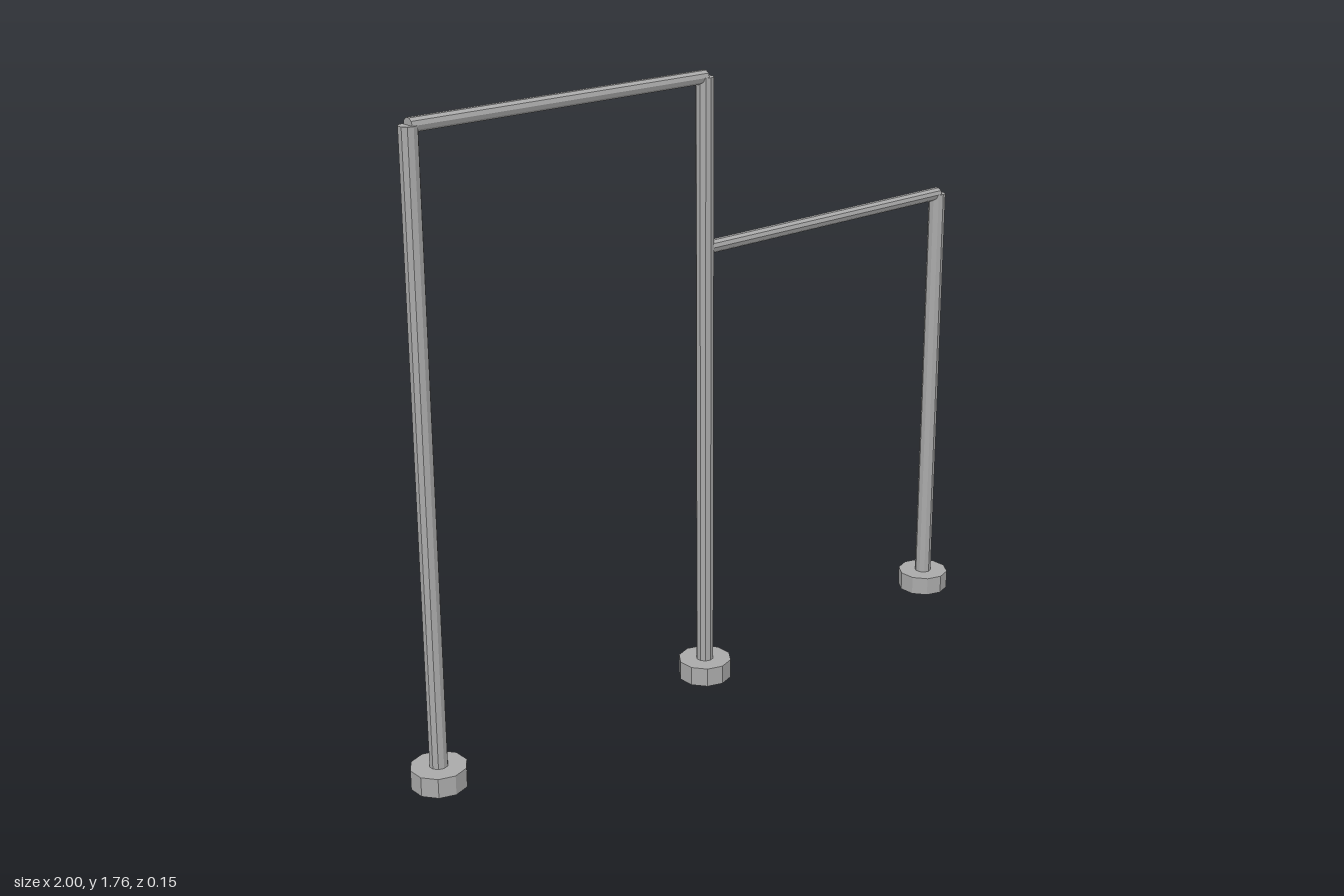
import * as THREE from 'three';

const SIDES = 10;
const SPAN = 0.928;      // distance between neighbouring posts
const HIGH = 1.74;       // upper bar height
const LOW = 1.277;       // lower bar height

export function createModel() {
  const group = new THREE.Group();
  const steel = new THREE.MeshStandardMaterial({ color: 0xaaaaaa, flatShading: true });
  steel.name = 'greySteel';

  const addRod = (name, radius, length, x, y) => {
    const mesh = new THREE.Mesh(new THREE.CylinderGeometry(radius, radius, length, SIDES), steel);
    mesh.name = name;
    mesh.position.set(x, y, 0);
    group.add(mesh);
    return mesh;
  };

  // Upright posts, each standing in a round foot
  const posts = [['right', -SPAN, HIGH], ['middle', 0, HIGH], ['left', SPAN, LOW]];
  for (const [side, x, height] of posts) {
    addRod(side + 'Foot', 0.076, 0.055, x, 0.0275);
    addRod(side + 'Post', 0.0247, height - 0.01, x, height / 2 + 0.005);
  }

  // Horizontal bars at two heights
  addRod('highBar', 0.0187, SPAN, -SPAN / 2, HIGH).rotation.z = Math.PI / 2;
  addRod('lowBar', 0.0187, SPAN, SPAN / 2, LOW).rotation.z = Math.PI / 2;

  return group;
}
